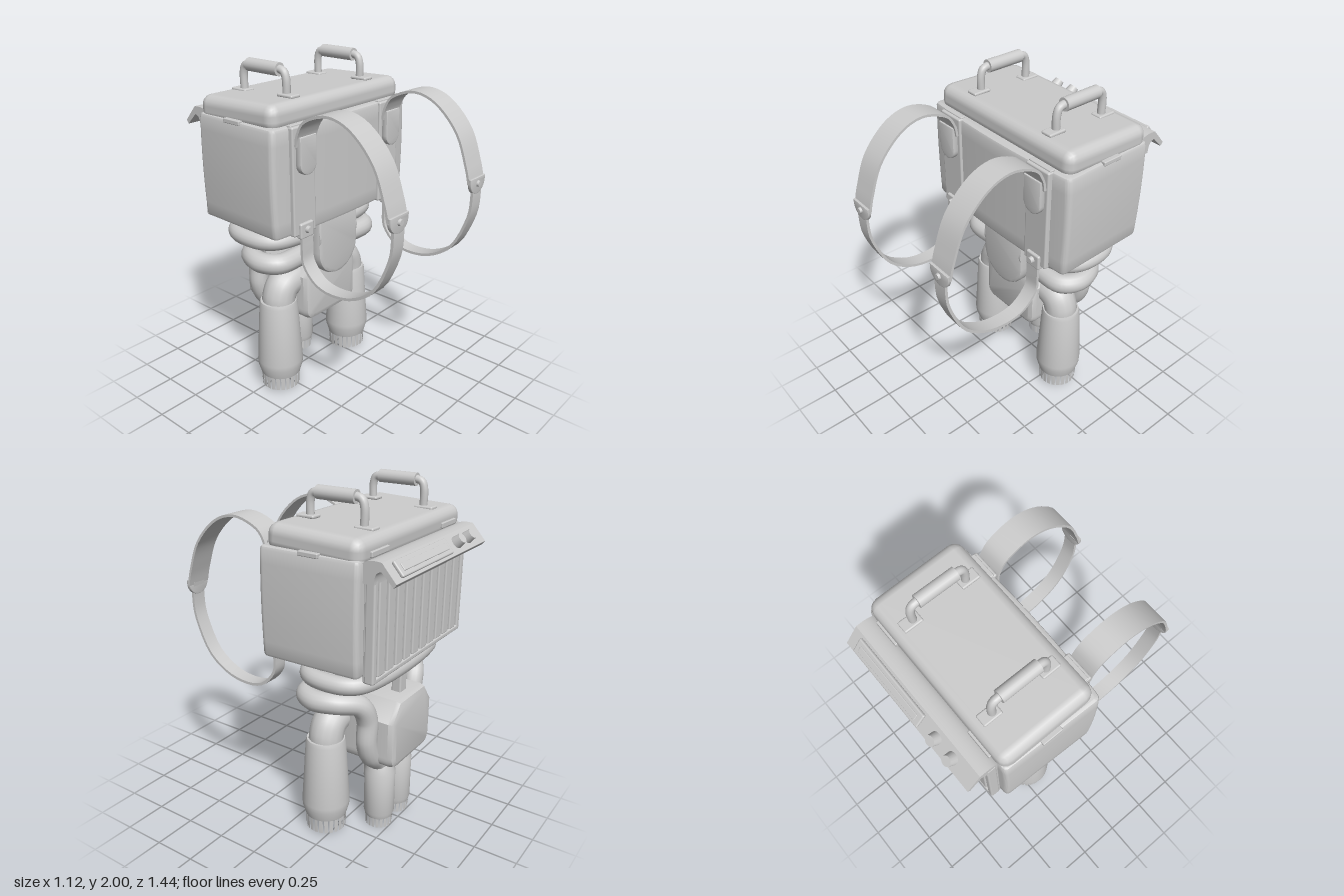
import * as THREE from 'three';
import { mergeGeometries, toCreasedNormals } from 'three/addons/utils/BufferGeometryUtils.js';
import { RoundedBoxGeometry } from 'three/addons/geometries/RoundedBoxGeometry.js';

const V = (x, y, z) => new THREE.Vector3(x, y, z);
const grey = new THREE.MeshStandardMaterial({ color: 0xcccccc });
const thin = new THREE.MeshStandardMaterial({ color: 0xcccccc, side: THREE.DoubleSide });

export function createModel() {
  const model = new THREE.Group();

  const add = (name, geo, x = 0, y = 0, z = 0, parent = model, mat = grey) => {
    const m = new THREE.Mesh(geo, mat);
    m.name = name;
    m.position.set(x, y, z);
    parent.add(m);
    return m;
  };
  const box = (w, h, d, r = 0.01) => new RoundedBoxGeometry(w, h, d, 2, r);
  const tube = (pts, r, closed = false, n = 64) =>
    new THREE.TubeGeometry(new THREE.CatmullRomCurve3(pts, closed), n, r, 16, closed);
  const extrude = (shape, depth, bevel = 0, steps = 1) => toCreasedNormals(new THREE.ExtrudeGeometry(shape, {
    depth: depth - 2 * bevel, steps, curveSegments: 8, bevelEnabled: bevel > 0,
    bevelSize: bevel, bevelThickness: bevel, bevelOffset: -bevel, bevelSegments: 2,
  }).translate(0, 0, bevel), 0.6);
  // Profile given as (backward, up), extruded across x and centred
  const across = (shape, width, bevel = 0) =>
    extrude(shape, width, bevel).translate(0, 0, -width / 2).rotateY(Math.PI / 2);
  // Plate with a rounded lower end, back face on z = 0
  const tongue = (w, top, bottom, depth, bevel = 0.008) => {
    const s = new THREE.Shape(), r = w / 2, k = Math.min(r, 0.8 * (top - bottom));
    s.moveTo(-r, top).lineTo(-r, bottom + k);
    s.bezierCurveTo(-r, bottom + k * 0.4, -r * 0.5, bottom, 0, bottom);
    s.bezierCurveTo(r * 0.5, bottom, r, bottom + k * 0.4, r, bottom + k);
    s.lineTo(r, top).closePath();
    return extrude(s, depth, bevel);
  };
  // Bent strap along (z, y) points
  const band = (pts, width, t) => {
    const c = new THREE.SplineCurve(pts.map(([z, y]) => new THREE.Vector2(-z, y)));
    const a = [], b = [], n = 32;
    for (let i = 0; i <= n; i++) {
      const p = c.getPoint(i / n), d = c.getTangent(i / n);
      const off = new THREE.Vector2(-d.y, d.x).multiplyScalar(t / 2);
      a.push(p.clone().add(off));
      b.unshift(p.clone().sub(off));
    }
    return across(new THREE.Shape([...a, ...b]), width);
  };
  const rivet = (r, h) => new THREE.CylinderGeometry(r * 0.8, r, h, 12).rotateX(Math.PI / 2);

  // Main case: bowed front, sides swelling below the middle
  const plan = new THREE.Shape();
  plan.moveTo(-0.53, -0.055).quadraticCurveTo(0, -0.105, 0.53, -0.055);
  plan.quadraticCurveTo(0.56, -0.05, 0.56, -0.02).lineTo(0.545, 0.5);
  plan.quadraticCurveTo(0.545, 0.53, 0.51, 0.53).lineTo(-0.51, 0.53);
  plan.quadraticCurveTo(-0.545, 0.53, -0.545, 0.5).lineTo(-0.56, -0.02);
  plan.quadraticCurveTo(-0.56, -0.05, -0.53, -0.055);
  const caseGeo = extrude(plan, 0.6, 0.02, 8).rotateX(-Math.PI / 2);
  const p = caseGeo.attributes.position;
  for (let i = 0; i < p.count; i++) {
    p.setX(i, p.getX(i) * (0.965 + 0.035 * Math.sin(Math.PI * (0.15 + 1.08 * p.getY(i)))));
  }
  add('case', toCreasedNormals(caseGeo, 0.6), 0, 1.12, 0);
  add('lid', box(1.06, 0.15, 0.565, 0.06), 0, 1.75, -0.25).rotation.x = -0.035;
  for (const s of [-1, 1]) {
    add('sideLatch', box(0.03, 0.025, 0.12, 0.005), s * 0.538, 1.715, -0.25);
    add('rearHinge', box(0.16, 0.03, 0.03, 0.005), s * 0.36, 1.735, -0.53);
    add('frontLatch', box(0.16, 0.025, 0.03, 0.005), s * 0.36, 1.715, 0.055);
  }

  // Carrying handles
  for (const s of [-1, 1]) {
    const x = s * 0.3;
    add('handleBar', tube([V(x, 1.8, -0.09), V(x, 1.92, -0.09), V(x, 1.955, -0.105), V(x, 1.965, -0.14),
      V(x, 1.965, -0.36), V(x, 1.955, -0.395), V(x, 1.92, -0.41), V(x, 1.8, -0.41)], 0.022));
    add('handleGrip', new THREE.CylinderGeometry(0.036, 0.036, 0.23, 20).rotateX(Math.PI / 2), x, 1.963, -0.25);
    add('handleFoot', box(0.07, 0.02, 0.11, 0.009), x, 1.837, -0.075);
    add('handleFoot', box(0.07, 0.02, 0.11, 0.009), x, 1.82, -0.425);
  }

  // Rear radiator with vertical slats
  add('radiatorBase', box(0.96, 0.6, 0.04), 0, 1.39, -0.545);
  for (let i = 0; i < 10; i++) add('radiatorSlat', box(0.068, 0.54, 0.03, 0.008), -0.396 + i * 0.088, 1.385, -0.572);
  for (const s of [-1, 1]) add('radiatorSide', box(0.035, 0.6, 0.055), s * 0.465, 1.39, -0.563);
  add('radiatorSill', box(0.96, 0.03, 0.055), 0, 1.105, -0.563);

  // Control hood above the radiator
  const hood = new THREE.Shape();
  hood.moveTo(0.52, 1.7).quadraticCurveTo(0.55, 1.735, 0.63, 1.725);
  hood.lineTo(0.71, 1.635).lineTo(0.695, 1.615).lineTo(0.63, 1.68);
  hood.quadraticCurveTo(0.59, 1.68, 0.59, 1.61).lineTo(0.52, 1.61).closePath();
  add('controlHood', across(hood, 0.975), 0.008, 0, 0);
  const controls = new THREE.Group();
  controls.name = 'controls';
  controls.position.set(0, 1.68, -0.67);
  controls.rotation.x = -0.85;
  model.add(controls);
  add('displayFrame', box(0.52, 0.02, 0.09, 0.008), 0.173, 0.008, 0, controls);
  add('display', box(0.46, 0.01, 0.04, 0.004), 0.173, 0.018, 0, controls);
  for (const x of [-0.318, -0.193]) {
    add('knob', new THREE.CylinderGeometry(0.029, 0.035, 0.045, 16), x, 0.022, 0, controls);
  }

  // Shoulder straps
  for (const s of [-1, 1]) {
    const x = s * 0.36;
    add('strapBacking', box(0.17, 0.6, 0.04, 0.01), x, 1.42, 0.067);
    add('strapPad', tongue(0.125, 1.67, 1.46, 0.04), x, 0, 0.08);
    add('upperStrap', band([[0.095, 1.62], [0.11, 1.69], [0.165, 1.765], [0.31, 1.81], [0.455, 1.765],
      [0.59, 1.63], [0.66, 1.46], [0.687, 1.36]], 0.15, 0.014), x);
    add('strapTip', tongue(0.15, 1.39, 1.295, 0.022, 0.005), x, 0, 0.68).rotation.x = 0;
    add('strapRivet', rivet(0.02, 0.02), x, 1.355, 0.705);
    add('lowerStrap', band([[0.685, 1.37], [0.693, 1.28], [0.677, 1.15], [0.59, 0.965], [0.455, 0.865], [0.31, 0.835],
      [0.19, 0.86], [0.105, 0.95], [0.094, 1.05], [0.092, 1.17]], 0.085, 0.016), x);
    add('strapAnchor', box(0.1, 0.09, 0.035), x, 1.145, 0.085);
    add('anchorRivet', rivet(0.022, 0.025), x, 1.15, 0.11);
  }

  // Pipes under the case
  const ring = [[0.35, -0.11], [0.43, -0.19], [0.43, -0.38], [0.35, -0.46]].map(([x, z]) => V(x, 1.015, z));
  const flip = a => a.map(v => V(-v.x, v.y, v.z)).reverse();
  add('upperPipeRing', tube([...ring, ...flip(ring)], 0.05, true, 120));
  add('pipeSleeve', new THREE.CylinderGeometry(0.063, 0.063, 0.4, 20).rotateZ(Math.PI / 2), 0, 1.015, -0.46);
  const half = [V(0.09, 0.36, -0.42), V(0.12, 0.43, -0.42), V(0.21, 0.51, -0.42), V(0.25, 0.61, -0.42),
    V(0.25, 0.75, -0.42), V(0.3, 0.85, -0.4), V(0.4, 0.88, -0.31), V(0.43, 0.88, -0.2),
    V(0.38, 0.88, -0.11), V(0.2, 0.88, -0.1)];
  add('lowerPipe', tube([...half, ...flip(half)], 0.06, false, 160));

  // Central tank and front pod
  const tank = new THREE.Shape(), c = 0.075;
  tank.moveTo(-0.22 + c, 0.45).lineTo(0.22 - c, 0.45).quadraticCurveTo(0.22, 0.45, 0.22, 0.45 + c);
  tank.lineTo(0.22, 0.74).lineTo(0.14, 0.85).lineTo(-0.14, 0.85).lineTo(-0.22, 0.74);
  tank.lineTo(-0.22, 0.45 + c).quadraticCurveTo(-0.22, 0.45, -0.22 + c, 0.45);
  add('centralTank', extrude(tank, 0.53, 0.035), 0, 0, -0.57);
  add('tankPost', box(0.07, 0.2, 0.06), 0, 0.91, -0.47);
  add('podDrum', new THREE.CylinderGeometry(0.12, 0.12, 0.33, 32).rotateZ(Math.PI / 2), 0, 0.99, -0.105);
  add('podFlap', tongue(0.34, 1.11, 0.73, 0.1, 0.02), 0, 0, -0.085);
  add('podCore', box(0.26, 0.26, 0.16, 0.03), 0, 0.88, -0.13);

  // Thrusters with a slotted crown at the mouth
  const thruster = (name, x, z, profile, y0, y1, r, teeth) => {
    const g = new THREE.Group();
    g.name = name;
    g.position.set(x, 0, z);
    model.add(g);
    const pts = profile.map(([a, b]) => new THREE.Vector2(a, b));
    add('thrusterBody', toCreasedNormals(new THREE.LatheGeometry(pts, 32), 0.5), 0, 0, 0, g, thin);
    const step = Math.PI * 2 / teeth, parts = [];
    for (let i = 0; i < teeth; i++) {
      parts.push(new THREE.CylinderGeometry(r, r * 0.97, y1 - y0, 2, 1, true, i * step, step * 0.72));
    }
    add('crownTeeth', mergeGeometries(parts), 0, (y0 + y1) / 2, 0, g, thin);
  };
  for (const s of [-1, 1]) {
    thruster('frontThruster', s * 0.315, -0.19, [[0, 0.13], [0.112, 0.13], [0.12, 0.11], [0.137, 0.17],
      [0.138, 0.2], [0.114, 0.58], [0.108, 0.6], [0, 0.6]], 0.025, 0.125, 0.119, 24);
    thruster('rearThruster', s * 0.095, -0.42, [[0, 0.075], [0.078, 0.075], [0.081, 0.06], [0.09, 0.09],
      [0.09, 0.36], [0.06, 0.43], [0, 0.43]], 0, 0.07, 0.081, 20);
    add('thrusterElbow', tube([V(s * 0.312, 0.56, -0.19), V(s * 0.308, 0.62, -0.19), V(s * 0.28, 0.675, -0.19),
      V(s * 0.22, 0.7, -0.19), V(s * 0.1, 0.7, -0.19)], 0.1, false, 32));
  }
  return model;
}
